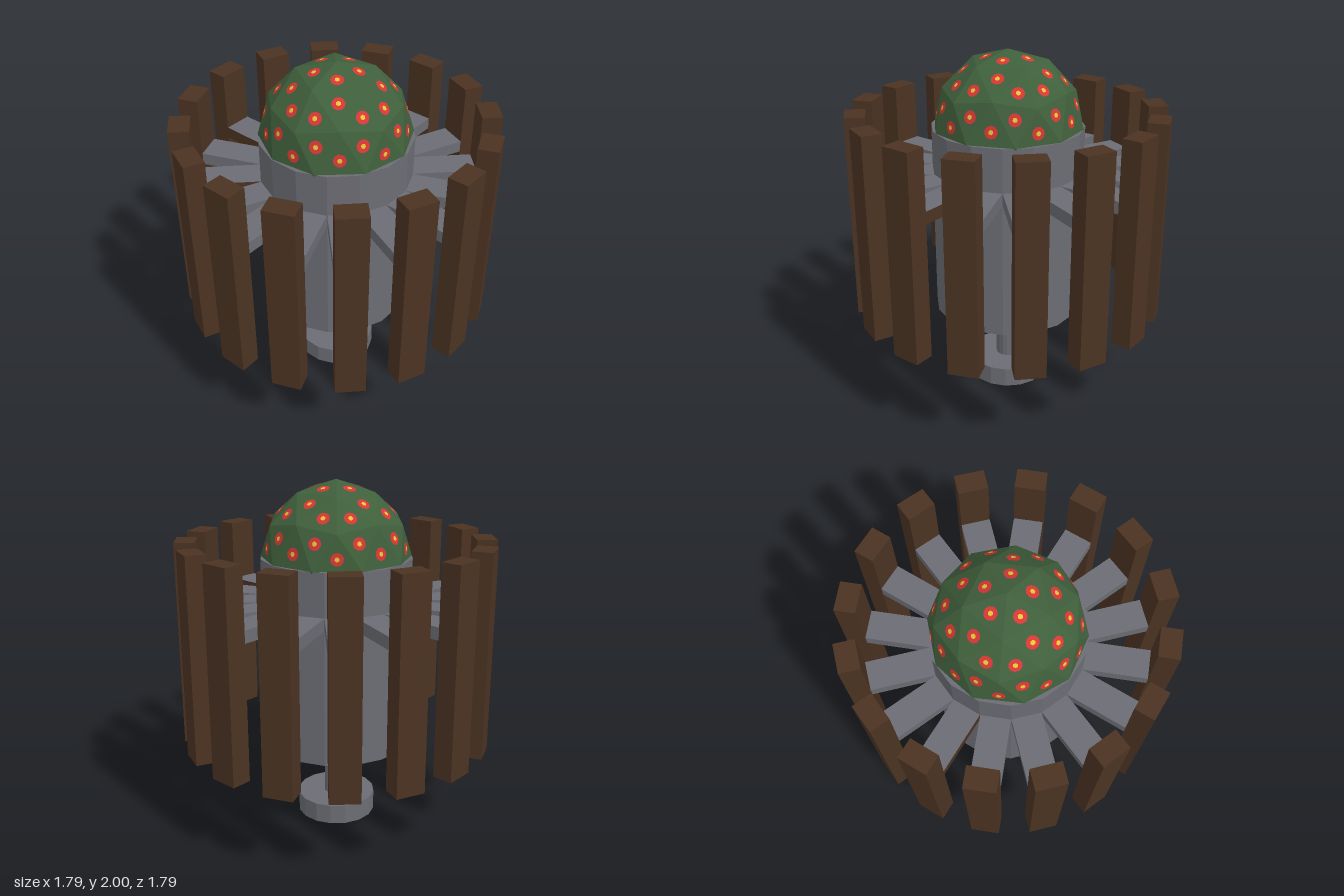
import * as THREE from 'three';

const mat = (name, color, extra = {}) => {
  const m = new THREE.MeshStandardMaterial({ color, flatShading: true, ...extra });
  m.name = name;
  return m;
};

export function createModel() {
  const model = new THREE.Group();
  model.name = 'plankPlanter';
  const metal = mat('grey metal', 0x6c6d74);
  const wood = mat('brown wood', 0x4b3322);
  const leaf = mat('leaf green', 0x3f5f3b);
  const petal = mat('petal red', 0xd63636);
  const pollen = mat('pollen yellow', 0xe3c52c);

  const add = (parent, name, geometry, material) => {
    const mesh = new THREE.Mesh(geometry, material);
    mesh.name = name;
    parent.add(mesh);
    return mesh;
  };

  // Sixteen-sided turned parts: foot, stem and body
  const SIDES = 16;
  const drum = (name, radius, y0, y1) => {
    const geo = new THREE.CylinderGeometry(radius, radius, y1 - y0, SIDES);
    add(model, name, geo, metal).position.y = (y0 + y1) / 2;
  };
  drum('foot', 0.23, 0, 0.115);
  drum('stem', 0.07, 0.115, 0.475);
  drum('body', 0.43, 0.475, 1.575);

  // One spoke and one plank per body face; a few spokes have one wooden side
  const width = 0.166;
  const spokeGeo = new THREE.BoxGeometry(0.375, 0.07, width);
  const plankGeo = new THREE.BoxGeometry(0.115, 1.18, width);
  const woodSided = [0, 8, 10];
  for (let i = 0; i < SIDES; i++) {
    const arm = new THREE.Group();
    arm.name = 'arm';
    arm.rotation.y = ((i + 0.5) / SIDES) * Math.PI * 2;
    const spokeMat = woodSided.includes(i) ? [metal, metal, metal, metal, metal, wood] : metal;
    add(arm, 'spoke', spokeGeo, spokeMat).position.set(0.591, 1.295, 0);
    add(arm, 'plank', plankGeo, wood).position.set(0.836, 1.08, 0);
    model.add(arm);
  }

  // Faceted bush with one corner pointing straight up
  const bush = new THREE.Group();
  bush.name = 'bush';
  bush.position.y = 1.575;
  model.add(bush);
  const dome = new THREE.IcosahedronGeometry(0.425, 1);
  dome.rotateZ(-Math.atan(2 / (1 + Math.sqrt(5))));
  add(bush, 'foliage', dome, leaf);

  // A flat flower at the middle of every upper facet
  const petalGeo = new THREE.CircleGeometry(0.036, 10);
  const pollenGeo = new THREE.CircleGeometry(0.014, 6);
  const pos = dome.attributes.position;
  const tri = new THREE.Triangle();
  const mid = new THREE.Vector3();
  const normal = new THREE.Vector3();
  for (let i = 0; i < pos.count; i += 3) {
    tri.setFromAttributeAndIndices(pos, i, i + 1, i + 2);
    tri.getMidpoint(mid);
    if (mid.y < 0.02) continue;
    tri.getNormal(normal);
    const flower = new THREE.Group();
    flower.name = 'flower';
    flower.position.copy(mid);
    flower.quaternion.setFromUnitVectors(new THREE.Vector3(0, 0, 1), normal);
    add(flower, 'petals', petalGeo, petal).position.z = 0.003;
    add(flower, 'flowerCentre', pollenGeo, pollen).position.z = 0.006;
    bush.add(flower);
  }

  return model;
}
